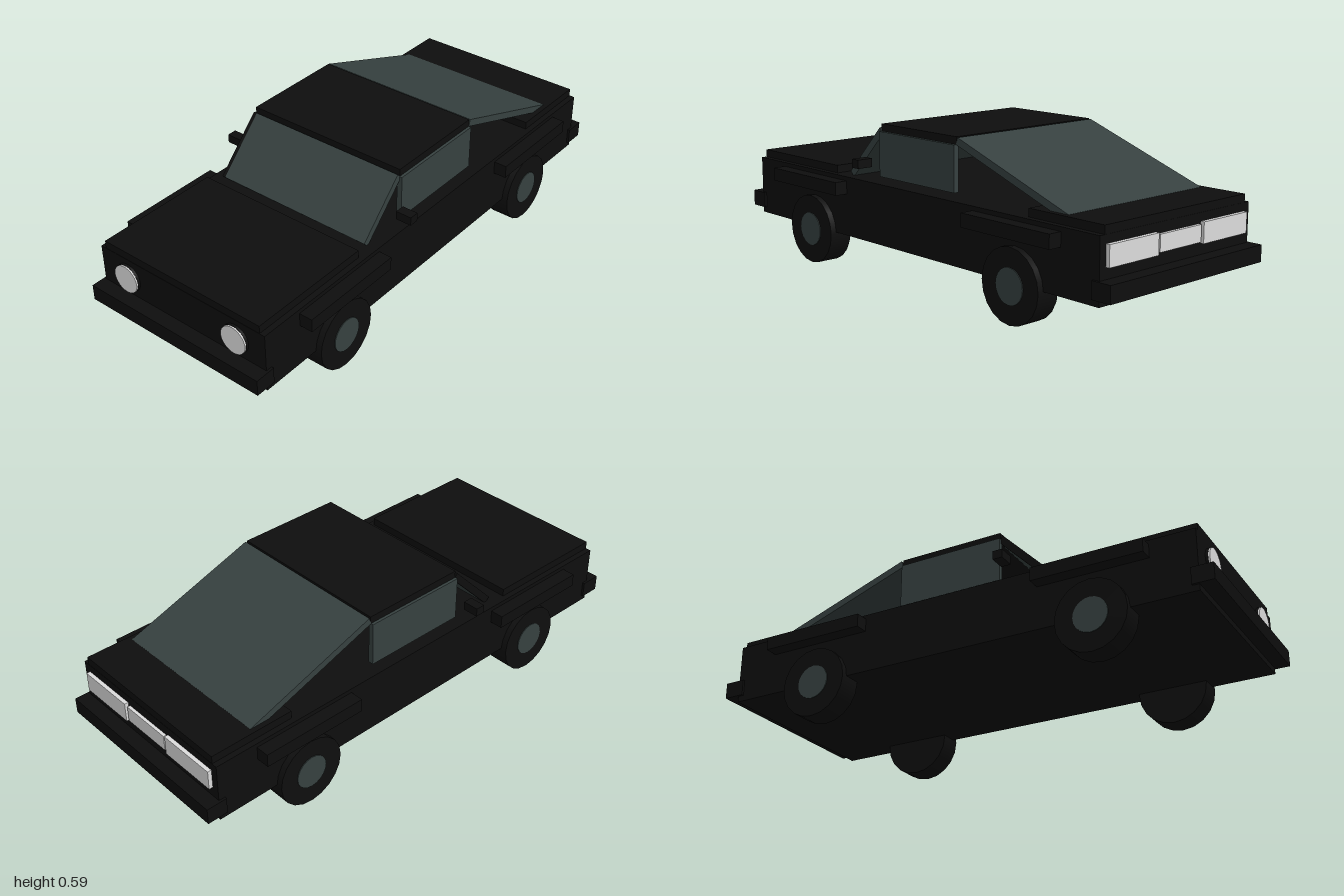
import * as THREE from 'three';

const material = (name, color) => {
  const m = new THREE.MeshStandardMaterial({ color });
  m.name = name;
  return m;
};

export function createModel() {
  const black = material('black paint', 0x0e0e0e);
  const glass = material('grey green glass', 0x364140);
  const lamp = material('lamp white', 0xdcdcdc);
  const car = new THREE.Group();
  car.name = 'car';

  const add = (name, geometry, mat) => {
    const mesh = new THREE.Mesh(geometry, mat);
    mesh.name = name;
    car.add(mesh);
    return mesh;
  };
  // Box given by its limits on each axis
  const box = (name, mat, [x0, x1], [y0, y1], [z0, z1]) => {
    const mesh = add(name, new THREE.BoxGeometry(x1 - x0, y1 - y0, z1 - z0), mat);
    mesh.position.set((x0 + x1) / 2, (y0 + y1) / 2, (z0 + z1) / 2);
    return mesh;
  };
  // Sloping slab whose centre line runs between two [z, y] points
  const slab = (name, mat, [x0, x1], [za, ya], [zb, yb], thick) => {
    const dz = zb - za, dy = yb - ya;
    const mesh = add(name, new THREE.BoxGeometry(x1 - x0, thick, Math.hypot(dz, dy)), mat);
    mesh.position.set((x0 + x1) / 2, (ya + yb) / 2, (za + zb) / 2);
    mesh.rotation.x = Math.atan2(-dy, dz);
  };
  const drum = (name, mat, radius, length, sides, axis, x, y, z) => {
    const g = new THREE.CylinderGeometry(radius, radius, length, sides);
    if (axis === 'x') g.rotateZ(Math.PI / 2);
    else g.rotateX(Math.PI / 2);
    add(name, g, mat).position.set(x, y, z);
  };

  // Body, hood, trunk and bumpers
  box('body', black, [-0.378, 0.378], [0.14, 0.37], [-0.945, 0.945]);
  box('hood', black, [-0.356, 0.356], [0.36, 0.4], [0.445, 0.944]);
  box('trunkLid', black, [-0.356, 0.356], [0.36, 0.4], [-0.944, -0.61]);
  box('frontBumper', black, [-0.387, 0.387], [0.163, 0.225], [0.92, 1]);
  box('rearBumper', black, [-0.387, 0.387], [0.163, 0.225], [-1, -0.92]);

  // Open cabin: roof and sloping glass
  box('roof', black, [-0.335, 0.335], [0.56, 0.588], [-0.23, 0.19]);
  slab('windshield', glass, [-0.321, 0.335], [0.192, 0.563], [0.378, 0.373], 0.028);
  slab('windshieldPillar', black, [-0.335, -0.321], [0.192, 0.563], [0.378, 0.373], 0.028);
  slab('rearWindow', glass, [-0.336, 0.336], [-0.765, 0.388], [-0.232, 0.573], 0.027);

  for (const s of [-1, 1]) {
    const side = (a, b) => (s > 0 ? [a, b] : [-b, -a]);
    box('sideWindow', glass, side(0.325, 0.346), [0.39, 0.56], [-0.228, 0.192]);
    box('mirror', black, side(0.367, 0.43), [0.426, 0.459], [0.212, 0.25]);

    // Wheels, hubs and fender flares
    for (const z of [0.568, -0.568]) {
      drum('wheel', black, 0.135, 0.092, 20, 'x', s * 0.356, 0.135, z);
      drum('hub', glass, 0.065, 0.008, 20, 'x', s * 0.401, 0.135, z);
      box('fender', black, side(0.36, 0.43), [0.303, 0.354], [z - 0.21, z + 0.21]);
    }

    // Headlights in dark housings
    drum('headlightHousing', black, 0.055, 0.02, 32, 'z', s * 0.25, 0.295, 0.945);
    drum('headlight', lamp, 0.054, 0.006, 32, 'z', s * 0.25, 0.295, 0.958);
    box('tailLight', lamp, side(0.115, 0.35), [0.265, 0.34], [-0.96, -0.94]);
  }
  box('centreTailLight', lamp, [-0.105, 0.105], [0.272, 0.333], [-0.957, -0.94]);

  return car;
}
